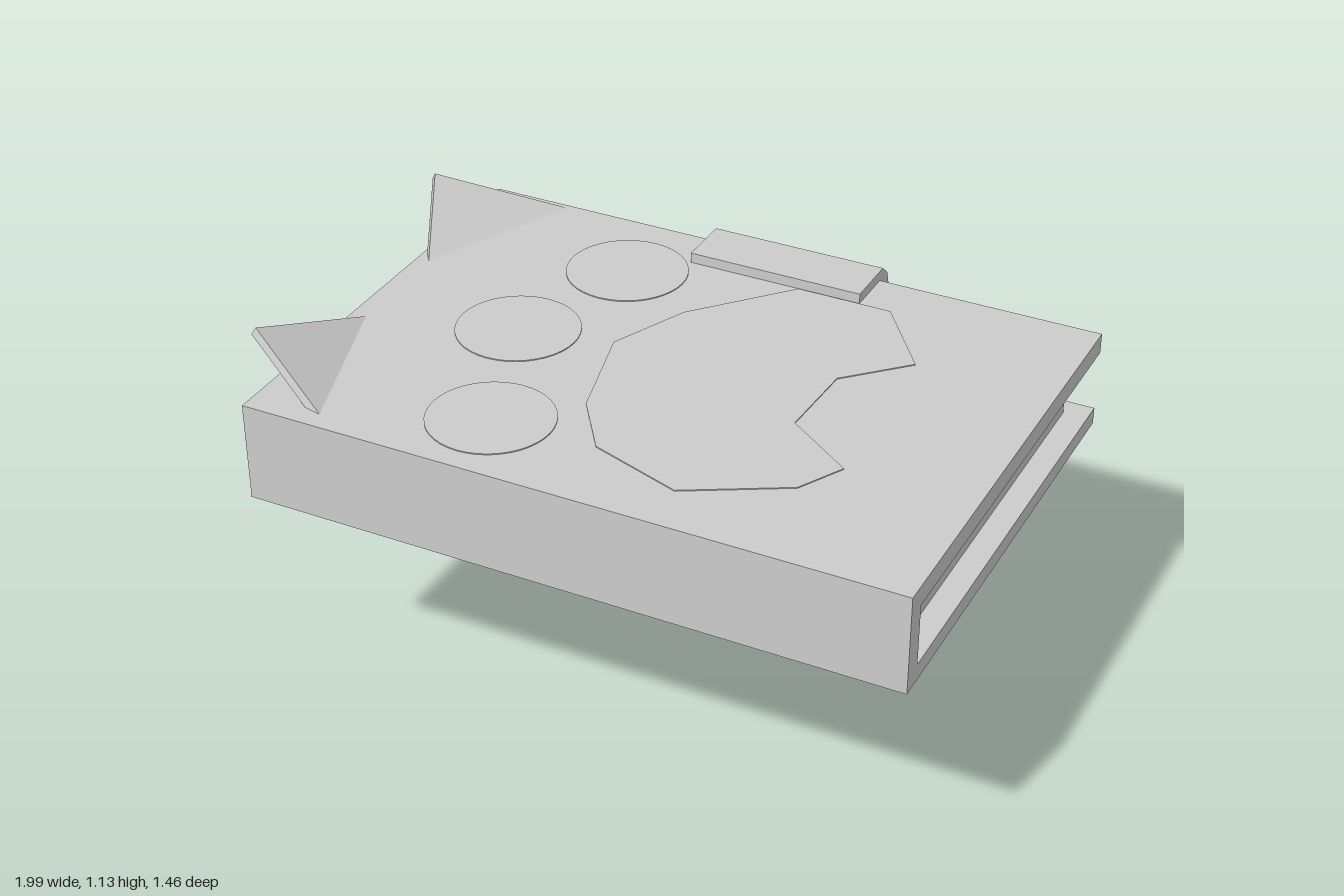
import * as THREE from 'three';

const material = new THREE.MeshStandardMaterial({ color: 0xcccccc });
const flat = new THREE.MeshStandardMaterial({ color: 0xcccccc, flatShading: true });

const TOP = 0.99, BOTTOM = 0.70;

function add(parent, name, geometry, mat = material) {
  const mesh = new THREE.Mesh(geometry, mat);
  mesh.name = name;
  parent.add(mesh);
  return mesh;
}

function shapeFrom(points) {
  return new THREE.Shape(points.map(([a, b]) => new THREE.Vector2(a, b)));
}

// Extrude a [z, y] side profile along x from x0 to x1
function sideExtrude(profile, x0, x1) {
  const shape = shapeFrom(profile.map(([z, y]) => [-z, y]));
  const geo = new THREE.ExtrudeGeometry(shape, { depth: x1 - x0, bevelEnabled: false });
  return geo.rotateY(Math.PI / 2).translate(x0, 0, 0);
}

// Triangular slab leaning outwards: base corners a and b, raised tip
function earGeometry(a, b, tip, thickness = 0.025) {
  const top = [a, b, tip].map(p => new THREE.Vector3(...p));
  const normal = new THREE.Triangle(...top).getNormal(new THREE.Vector3());
  if (normal.y < 0) {
    top.reverse();
    normal.negate();
  }
  const low = top.map(p => p.clone().addScaledVector(normal, -thickness));
  const tris = [top[0], top[1], top[2], low[0], low[2], low[1]];
  for (let i = 0; i < 3; i++) {
    const j = (i + 1) % 3;
    tris.push(top[i], low[i], low[j], top[i], low[j], top[j]);
  }
  const geo = new THREE.BufferGeometry().setFromPoints(tris);
  geo.computeVertexNormals();
  return geo;
}

export function createModel() {
  const model = new THREE.Group();
  model.name = 'bookWithEars';

  // Cover: two boards joined by the spine at the front
  add(model, 'cover', sideExtrude([
    [0.73, BOTTOM], [-0.63, BOTTOM], [-0.63, 0.75], [0.67, 0.75],
    [0.67, 0.93], [-0.63, 0.93], [-0.63, TOP], [0.73, TOP],
  ], -0.905, 0.995));

  // Page block, inset on the open sides
  const pages = add(model, 'pages', new THREE.BoxGeometry(1.76, 0.18, 1.24));
  pages.position.set(0.045, 0.84, 0.05);

  // Clasp wrapped around the opening edge
  add(model, 'clasp', sideExtrude([
    [-0.485, 1.02], [-0.65, 1.02], [-0.685, 0.99], [-0.705, 0.925],
    [-0.705, 0.75], [-0.685, 0.685], [-0.65, 0.655], [-0.485, 0.655],
    [-0.485, BOTTOM], [-0.57, BOTTOM], [-0.57, TOP], [-0.485, TOP],
  ], -0.19, 0.335));

  // Ears on the two corners of one short edge
  add(model, 'backEar', earGeometry(
    [-0.665, TOP, -0.615], [-0.865, TOP, -0.155], [-0.985, 1.127, -0.405]), flat);
  add(model, 'frontEar', earGeometry(
    [-0.70, TOP, 0.675], [-0.86, TOP, 0.19], [-0.957, 1.127, 0.567]), flat);

  // Paw print inlay: three toes and a pad, barely raised
  const paw = new THREE.Group();
  paw.name = 'pawPrint';
  model.add(paw);
  for (const [x, z] of [[-0.33, -0.36], [-0.45, 0.06], [-0.29, 0.49]]) {
    const toe = add(paw, 'toe', new THREE.CylinderGeometry(0.175, 0.175, 0.006, 40));
    toe.position.set(x, TOP, z);
  }
  const padOutline = [
    [0.02, 0.49], [-0.10, 0.32], [-0.18, 0.01], [-0.08, -0.22], [0.15, -0.48],
    [0.43, -0.48], [0.60, -0.25], [0.44, -0.09], [0.43, 0.16], [0.63, 0.30],
    [0.56, 0.43], [0.29, 0.58],
  ].map(([x, z]) => [x, -z]);
  const pad = new THREE.ExtrudeGeometry(shapeFrom(padOutline), { depth: 0.006, bevelEnabled: false });
  add(paw, 'pad', pad.rotateX(-Math.PI / 2).translate(0, TOP - 0.003, 0));

  // Bell hanging on a cord from the clasp
  const charm = new THREE.Group();
  charm.name = 'hangingBell';
  charm.position.set(0.235, 0, -0.63);
  model.add(charm);
  add(charm, 'cord', new THREE.CylinderGeometry(0.006, 0.006, 0.5, 12)).position.y = 0.42;
  add(charm, 'bell', new THREE.SphereGeometry(0.09, 32, 20)).position.y = 0.09;
  const rim = add(charm, 'bellRim', new THREE.TorusGeometry(0.082, 0.015, 12, 40));
  rim.rotation.x = Math.PI / 2;
  rim.position.y = 0.09;

  return model;
}
